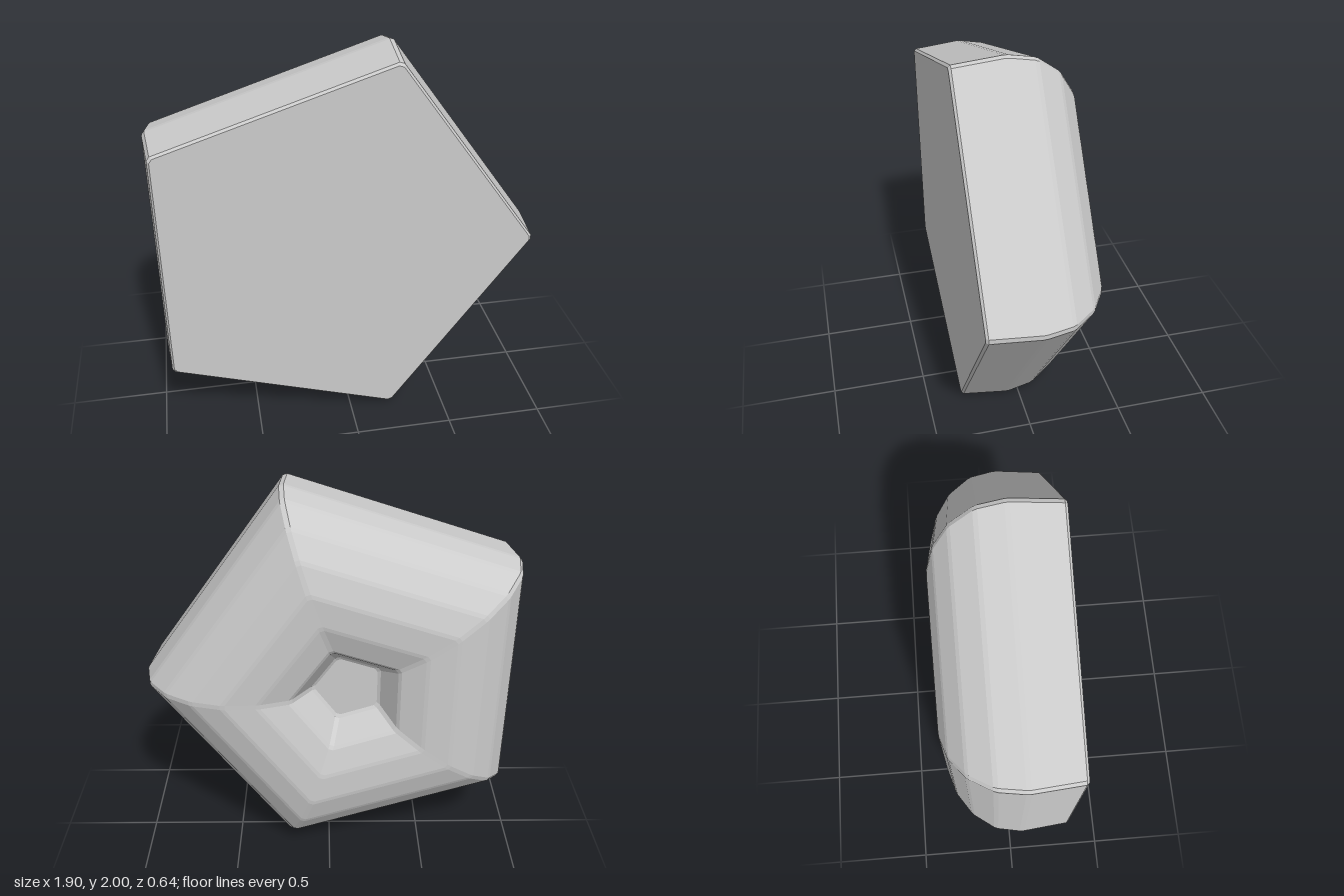
import * as THREE from 'three';

const SIDES = 5, BEVEL = 0.012, CORNER = 0.015;

// Half section of the shell as [corner radius, z], from front centre to hollow floor
const PROFILE = [
  [0, 0.32], [1.026, 0.32], [1.057, 0.06], [1.027, -0.08], [0.93, -0.2], [0.795, -0.28],
  [0.635, -0.32], [0.46, -0.315], [0.3, -0.27], [0.19, -0.13], [0, -0.13],
];

// Replaces each inner profile point by two, giving every ridge a narrow bevel
function bevelProfile(points) {
  const v = points.map(([r, z]) => new THREE.Vector2(r, z));
  const toward = (p, q) => q.clone().sub(p).setLength(BEVEL).add(p);
  return v.flatMap((p, i) =>
    i === 0 || i === v.length - 1 ? [p] : [toward(p, v[i - 1]), toward(p, v[i + 1])]);
}

// Pentagon with slightly cut corners
function ring({ x: r, y: z }) {
  const corner = (k) => {
    const a = (k * 2 * Math.PI) / SIDES;
    return new THREE.Vector3(r * Math.cos(a), r * Math.sin(a), z);
  };
  const loop = [];
  const cut = CORNER * Math.min(1, r / 0.1);
  for (let k = 0; k < SIDES; k++) {
    for (const n of [k - 1, k + 1]) {
      const p = corner(k);
      loop.push(p.clone().add(corner(n).sub(p).setLength(cut)));
    }
  }
  return loop;
}

// Joins the rings with flat faces; rings of zero radius close the ends
function loft(rings) {
  const pos = [];
  const tri = (...pts) => {
    if (new THREE.Triangle(...pts).getArea() > 1e-9) pts.forEach((p) => pos.push(p.x, p.y, p.z));
  };
  for (let i = 0; i < rings.length - 1; i++) {
    const n = rings[i].length;
    for (let k = 0; k < n; k++) {
      const a = rings[i][k], b = rings[i][(k + 1) % n];
      const c = rings[i + 1][k], d = rings[i + 1][(k + 1) % n];
      tri(a, c, b);
      tri(b, c, d);
    }
  }
  const geo = new THREE.BufferGeometry();
  geo.setAttribute('position', new THREE.Float32BufferAttribute(pos, 3));
  geo.computeVertexNormals();
  return geo;
}

export function createModel() {
  const group = new THREE.Group();
  group.name = 'pentagonalBlock';
  const material = new THREE.MeshStandardMaterial({ color: 0xcccccc, flatShading: true });
  const shell = new THREE.Mesh(loft(bevelProfile(PROFILE).map(ring)), material);
  shell.name = 'steppedPentagonShell';
  shell.position.set(-0.1, 1, 0);
  group.add(shell);
  return group;
}
